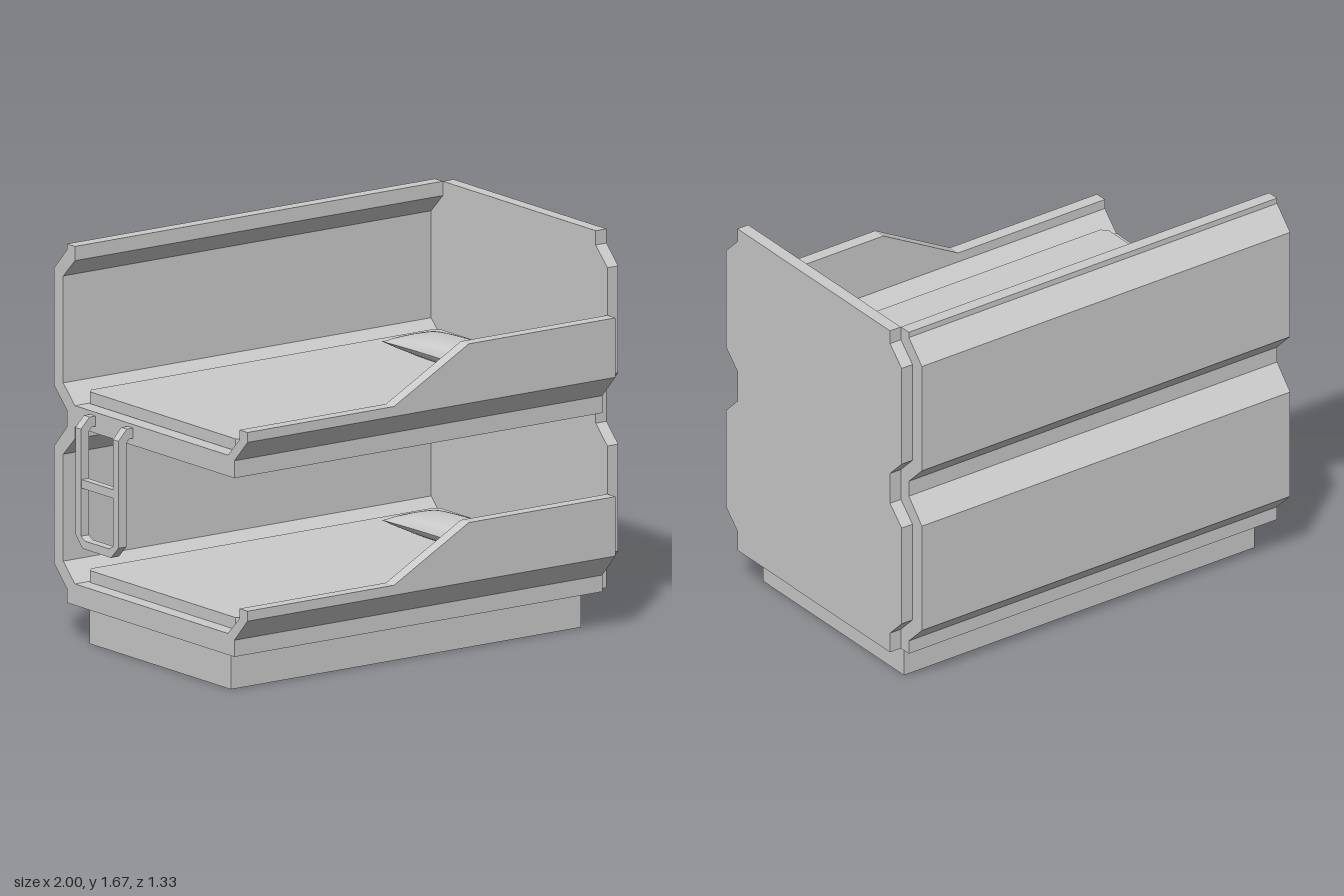
import * as THREE from 'three';
import { mergeGeometries } from 'three/addons/utils/BufferGeometryUtils.js';

const grey = new THREE.MeshStandardMaterial({ color: 0xcccccc });
const LEVELS = [0, 0.752]; // height offset of each bunk

function add(parent, name, geometry) {
  const mesh = new THREE.Mesh(geometry, grey);
  mesh.name = name;
  parent.add(mesh);
  return mesh;
}

function extrude(points, depth) {
  const shape = new THREE.Shape(points.map(([a, b]) => new THREE.Vector2(a, b)));
  return new THREE.ExtrudeGeometry(shape, { depth, bevelEnabled: false });
}

// Extrude a (z, y) profile along x from x0 to x1
function alongX(points, x0, x1) {
  return extrude(points, x1 - x0).rotateY(-Math.PI / 2).translate(x1, 0, 0);
}

// Cushion with pinched sides, swollen in the middle
function pillowGeometry(hx, hz, h) {
  const half = new THREE.PlaneGeometry(2, 2, 20, 28).rotateX(-Math.PI / 2);
  const p = half.attributes.position;
  for (let i = 0; i < p.count; i++) {
    const u = p.getX(i), v = p.getZ(i);
    const a = Math.max(0, 1 - u * u), b = Math.max(0, 1 - v * v);
    p.setXYZ(i, hx * u * (1 - 0.11 * b), h * Math.pow(a * b, 0.45), hz * v * (1 - 0.04 * a));
  }
  half.computeVertexNormals();
  return mergeGeometries([half, half.clone().rotateX(Math.PI)]);
}

export function createModel() {
  const model = new THREE.Group();
  model.name = 'bunkBed';

  // Plinth
  add(model, 'base', new THREE.BoxGeometry(1.78, 0.16, 0.97).translate(0.01, 0.08, 0.005));

  // Back wall and both bunk floors as one folded section
  add(model, 'frame', alongX([
    [0.575, 0.16], [0.575, 0.23], [0.665, 0.328], [0.61, 0.328], [0.53, 0.25],
    [-0.52, 0.25], [-0.6, 0.33], [-0.6, 0.78], [-0.52, 0.86], [-0.52, 0.912],
    [0.575, 0.912], [0.575, 0.985], [0.665, 1.08], [0.61, 1.08], [0.53, 1.0],
    [-0.52, 1.0], [-0.6, 1.08], [-0.6, 1.53], [-0.52, 1.61], [-0.52, 1.67],
    [-0.575, 1.67], [-0.575, 1.645], [-0.665, 1.55], [-0.665, 1.06], [-0.575, 0.97],
    [-0.575, 0.9], [-0.665, 0.8], [-0.665, 0.31], [-0.575, 0.22], [-0.575, 0.16],
  ], -0.925, 0.945));

  // End panel with notched edges
  add(model, 'endPanel', alongX([
    [0.53, 0.16], [0.53, 0.25], [0.61, 0.33], [0.61, 0.78], [0.53, 0.86],
    [0.53, 1.0], [0.61, 1.08], [0.61, 1.53], [0.53, 1.61], [0.53, 1.67],
    [-0.52, 1.67], [-0.52, 1.61], [-0.6, 1.53], [-0.6, 1.08], [-0.52, 1.0],
    [-0.52, 0.86], [-0.6, 0.78], [-0.6, 0.33], [-0.52, 0.25], [-0.52, 0.16],
  ], 0.945, 1));

  for (const y of LEVELS) {
    const bunk = new THREE.Group();
    bunk.name = y ? 'upperBunk' : 'lowerBunk';
    bunk.position.y = y;
    model.add(bunk);

    // Stepped guard rail
    add(bunk, 'guardRail', extrude([
      [-0.925, 0.328], [0.945, 0.328], [0.945, 0.578], [0.2, 0.578], [-0.18, 0.37], [-0.925, 0.37],
    ], 0.055).translate(0, 0, 0.61));

    // Mattress with clipped corners
    const c = 0.025, x0 = -0.86, x1 = 0.925, z0 = -0.52, z1 = 0.53;
    add(bunk, 'mattress', extrude([
      [x0 + c, z0], [x1 - c, z0], [x1, z0 + c], [x1, z1 - c],
      [x1 - c, z1], [x0 + c, z1], [x0, z1 - c], [x0, z0 + c],
    ], 0.05).rotateX(-Math.PI / 2).translate(0, 0.25, 0));

    add(bunk, 'pillow', pillowGeometry(0.137, 0.365, 0.05)).position.set(0.675, 0.33, -0.025);
  }

  // Ladder hung from the upper floor
  const ladder = new THREE.Group();
  ladder.name = 'ladder';
  model.add(ladder);
  for (const z of [-0.415, -0.158]) {
    add(ladder, 'ladderHook', extrude([
      [-0.92, 0.985], [-0.957, 0.985], [-1, 0.94], [-1, 0.49], [-0.96, 0.49], [-0.96, 0.925], [-0.945, 0.942], [-0.92, 0.942],
    ].reverse(), 0.038).translate(0, 0, z));
  }
  add(ladder, 'bottomRung', alongX([
    [-0.415, 0.49], [-0.365, 0.44], [-0.17, 0.44], [-0.12, 0.49],
    [-0.158, 0.49], [-0.185, 0.475], [-0.35, 0.475], [-0.377, 0.49],
  ], -1, -0.96));
  add(ladder, 'middleRung', new THREE.BoxGeometry(0.034, 0.036, 0.22).translate(-0.98, 0.71, -0.2675));

  return model;
}
